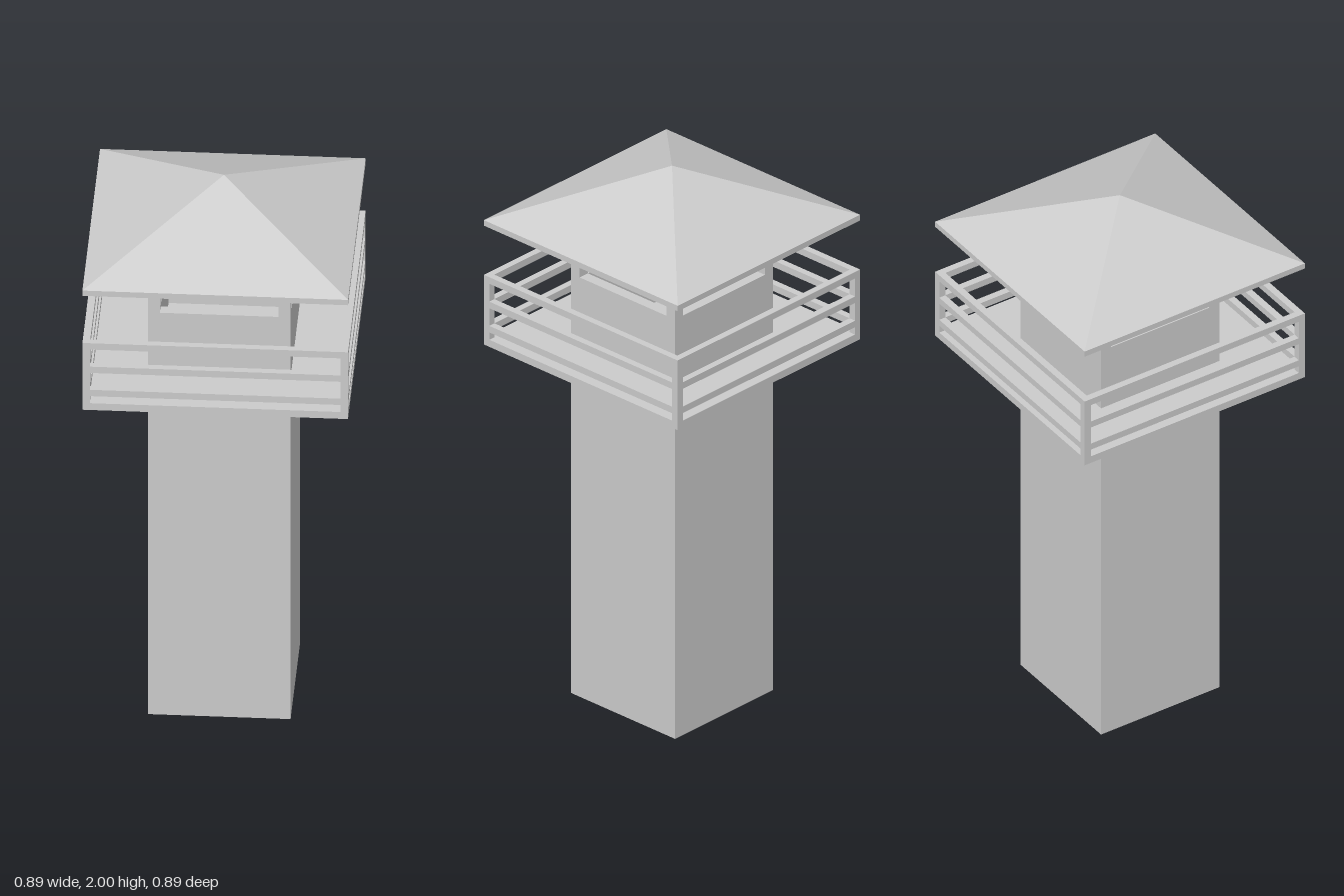
import * as THREE from 'three';

export function createModel() {
  const tower = new THREE.Group();
  tower.name = 'watchtower';
  const material = new THREE.MeshStandardMaterial({ color: 0xcccccc, flatShading: true });
  const half = 0.447; // deck and roof half width
  const wallHalf = 0.24; // shaft and cabin half width
  const thick = 0.04; // cabin wall and post thickness

  function add(name, geometry, x, y, z, parent = tower) {
    const mesh = new THREE.Mesh(geometry, material);
    mesh.name = name;
    mesh.position.set(x, y, z);
    parent.add(mesh);
    return mesh;
  }
  // Box given by its bottom and top heights
  function box(name, w, y0, y1, d, x = 0, z = 0, parent = tower) {
    return add(name, new THREE.BoxGeometry(w, y1 - y0, d), x, (y0 + y1) / 2, z, parent);
  }
  function square(path, h) {
    path.moveTo(-h, -h);
    path.lineTo(h, -h);
    path.lineTo(h, h);
    path.lineTo(-h, h);
    path.closePath();
    return path;
  }
  // Hollow square frame
  function ring(name, h, t, y0, y1, parent = tower) {
    const shape = square(new THREE.Shape(), h);
    shape.holes.push(square(new THREE.Path(), h - t));
    const geometry = new THREE.ExtrudeGeometry(shape, { depth: y1 - y0, bevelEnabled: false });
    geometry.rotateX(-Math.PI / 2);
    return add(name, geometry, 0, y0, 0, parent);
  }

  // Shaft and deck
  box('shaft', 2 * wallHalf, 0, 1.33, 2 * wallHalf);
  box('deck', 2 * half, 1.33, 1.357, 2 * half);

  // Open cabin with parapet walls and corner posts carrying the roof
  ring('cabinWalls', wallHalf, thick, 1.357, 1.595);
  const postAt = wallHalf - thick / 2;

  // Railing around the deck
  const railing = new THREE.Group();
  railing.name = 'railing';
  tower.add(railing);
  const bar = 0.025;
  for (const y of [1.385, 1.477, 1.57]) ring('rail', half, bar, y, y + bar, railing);

  const railAt = half - bar / 2;
  for (const sx of [-1, 1]) {
    for (const sz of [-1, 1]) {
      box('roofPost', thick, 1.595, 1.78, thick, sx * postAt, sz * postAt);
      box('railingPost', bar, 1.357, 1.595, bar, sx * railAt, sz * railAt, railing);
    }
  }

  // Roof: thin eave slab with a four-sided pyramid on top
  box('eaves', 2 * half, 1.782, 1.803, 2 * half);
  const pyramid = new THREE.ConeGeometry(half * Math.SQRT2, 0.197, 4, 1, true);
  pyramid.rotateY(Math.PI / 4);
  add('roof', pyramid, 0, 1.803 + 0.197 / 2, 0);

  return tower;
}
